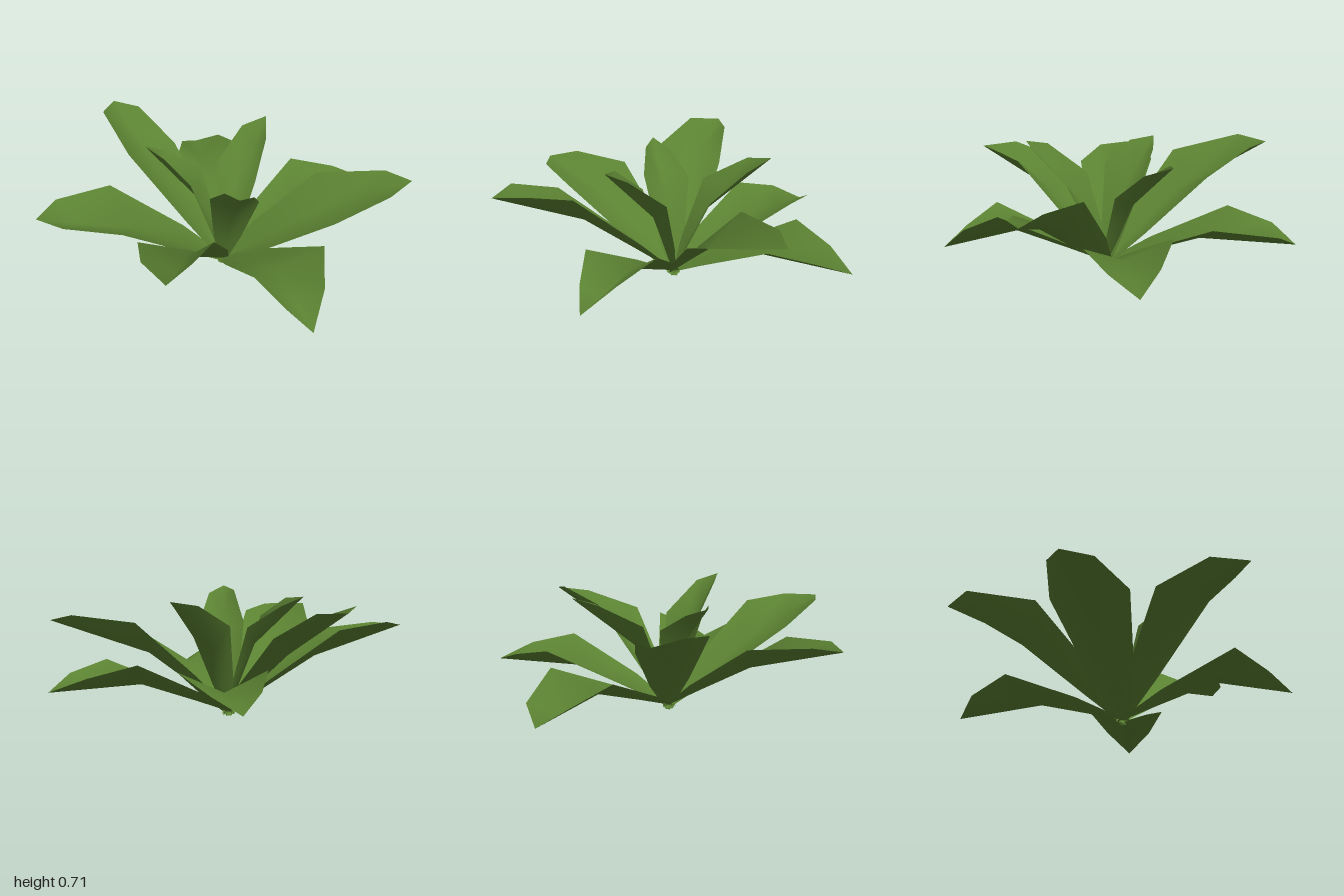
import * as THREE from 'three';

const leafGreen = new THREE.MeshStandardMaterial({ color: 0x5b8232, side: THREE.DoubleSide });
leafGreen.name = 'leafGreen';

const crown = new THREE.Vector3(-0.025, 0.028, 0.05); // where all leaves cross

// Each leaf's outline: wide corner, shoulder, tip, shoulder, wide corner
const outerLeaves = [
  [[-0.27, 0.36, -0.58], [-0.25, 0.295, -0.84], [-0.17, 0.21, -0.99], [-0.02, 0.285, -0.93], [0.18, 0.35, -0.62]],
  [[0.40, 0.36, -0.48], [0.66, 0.29, -0.50], [0.87, 0.21, -0.47], [0.80, 0.285, -0.28], [0.64, 0.335, -0.09]],
  [[0.49, 0.53, -0.03], [0.86, 0.565, 0.02], [1.0, 0.53, 0.08], [0.86, 0.51, 0.21], [0.55, 0.435, 0.34]],
  [[0.48, 0.39, 0.47], [0.46, 0.285, 0.69], [0.39, 0.145, 0.86], [0.26, 0.24, 0.79], [0.11, 0.35, 0.67]],
  [[-0.09, 0.545, 0.63], [-0.20, 0.57, 0.84], [-0.32, 0.56, 0.985], [-0.44, 0.575, 0.82], [-0.47, 0.485, 0.53]],
  [[-0.55, 0.46, 0.43], [-0.85, 0.50, 0.42], [-1.0, 0.495, 0.32], [-0.91, 0.525, 0.18], [-0.64, 0.495, 0.0]],
  [[-0.54, 0.585, -0.17], [-0.70, 0.675, -0.52], [-0.65, 0.655, -0.70], [-0.50, 0.645, -0.64], [-0.29, 0.5, -0.45]],
];
const innerLeaves = [
  [[-0.05, 0.53, -0.17], [0.10, 0.655, -0.36], [0.24, 0.68, -0.42], [0.23, 0.62, -0.26], [0.16, 0.46, -0.07]],
  [[-0.20, 0.56, 0.13], [-0.34, 0.67, 0.03], [-0.44, 0.685, -0.08], [-0.32, 0.635, -0.12], [-0.14, 0.52, -0.13]],
  [[0.16, 0.50, 0.21], [0.12, 0.665, 0.42], [0.04, 0.705, 0.51], [-0.03, 0.685, 0.41], [-0.10, 0.52, 0.20]],
];

// Folded leaf: narrow base, wide middle, drooping shoulders and a point
function makeLeaf(outline, name) {
  const [wideA, shoulderA, tip, shoulderB, wideB] = outline.map((p) => new THREE.Vector3(...p));
  const middle = wideA.clone().lerp(wideB, 0.5);
  const side = wideA.clone().sub(wideB).multiplyScalar(0.5);
  const stalk = middle.clone().sub(crown);
  const normal = side.clone().cross(stalk).normalize();
  if (normal.y < 0) normal.negate();

  // The midrib runs below the edges
  const base = crown.clone().addScaledVector(stalk.clone().normalize(), -0.03);
  const rib = crown.clone().addScaledVector(stalk, 0.78).addScaledVector(normal, -0.28 * side.length());

  const lowCentre = crown.clone().addScaledVector(stalk, 0.36).addScaledVector(normal, 0.06 * side.length());
  const rows = [
    [base.clone().addScaledVector(side, 0.12), base, base.clone().addScaledVector(side, -0.12)],
    [lowCentre.clone().addScaledVector(side, 0.57), crown.clone().lerp(rib, 0.42), lowCentre.clone().addScaledVector(side, -0.57)],
    [wideA, rib, wideB],
    [shoulderA, rib.clone().lerp(tip, 0.6), shoulderB],
  ];

  const index = [];
  for (let row = 0; row < 3; row++) {
    for (let col = 0; col < 2; col++) {
      const i = row * 3 + col;
      index.push(i, i + 1, i + 3, i + 1, i + 4, i + 3);
    }
  }
  index.push(9, 10, 12, 10, 11, 12);

  const geometry = new THREE.BufferGeometry().setFromPoints([...rows.flat(), tip]);
  geometry.setIndex(index);
  geometry.computeVertexNormals();
  const leaf = new THREE.Mesh(geometry, leafGreen);
  leaf.name = name;
  return leaf;
}

export function createModel() {
  const plant = new THREE.Group();
  plant.name = 'plant';
  outerLeaves.forEach((leaf, i) => plant.add(makeLeaf(leaf, `outerLeaf${i + 1}`)));
  innerLeaves.forEach((leaf, i) => plant.add(makeLeaf(leaf, `innerLeaf${i + 1}`)));
  return plant;
}
